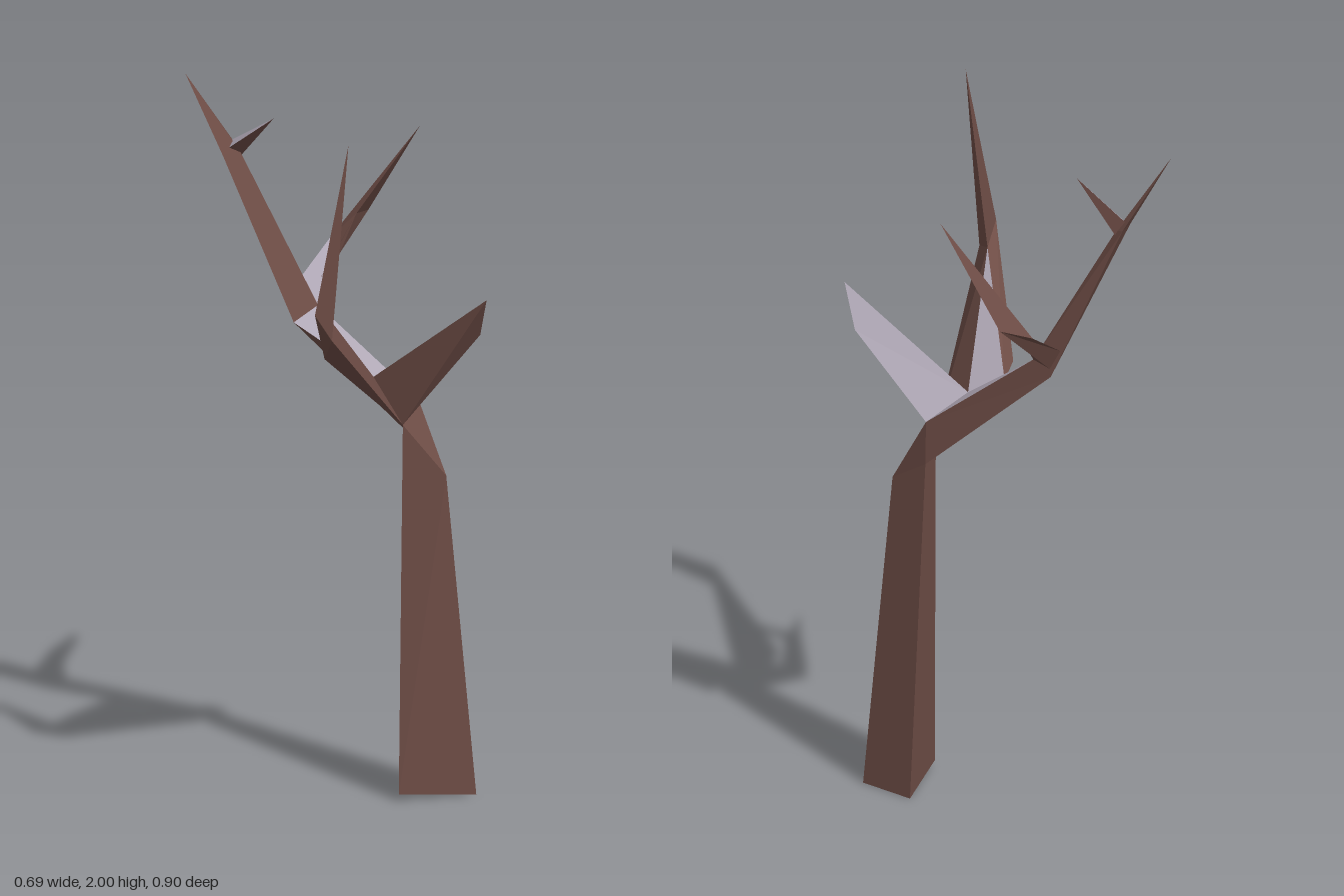
import * as THREE from 'three';

const material = (name, color, extra) =>
  Object.assign(new THREE.MeshStandardMaterial({ color, flatShading: true }), { name });
const bark = material('bark', 0x6d4c45);
const paleBark = material('paleBark', 0xb0a8b6);

const v = (x, y, z) => new THREE.Vector3(x, y, z);

// Skins a run of cross-sections; a single point is a pointed tip.
// pale lists the "segment:side" strips that take the pale colour.
function limb(name, sections, pale = []) {
  const n = sections[0].length;
  const rings = sections.map((s) => (Array.isArray(s) ? s : Array(n).fill(s)));
  const faces = { bark: [], pale: [] };
  const add = (list, a, b, c) => {
    const area = b.clone().sub(a).cross(c.clone().sub(a)).length();
    if (area > 1e-7) list.push([a, b, c]);
  };
  for (let i = 1; i < n - 1; i++) add(faces.bark, rings[0][0], rings[0][i + 1], rings[0][i]);
  for (let s = 0; s < rings.length - 1; s++) {
    for (let i = 0; i < n; i++) {
      const j = (i + 1) % n;
      const list = pale.includes(`${s}:${i}`) ? faces.pale : faces.bark;
      add(list, rings[s][i], rings[s][j], rings[s + 1][j]);
      add(list, rings[s][i], rings[s + 1][j], rings[s + 1][i]);
    }
  }
  // Turn the skin outward using its signed volume
  const all = [...faces.bark, ...faces.pale];
  const origin = rings[0][0];
  const volume = all.reduce((sum, [a, b, c]) => sum + a.clone().sub(origin)
    .dot(b.clone().sub(origin).cross(c.clone().sub(origin))), 0);
  if (volume < 0) all.forEach((f) => f.reverse());

  const geometry = new THREE.BufferGeometry().setFromPoints(all.flat());
  geometry.addGroup(0, faces.bark.length * 3, 0);
  if (faces.pale.length) geometry.addGroup(faces.bark.length * 3, faces.pale.length * 3, 1);
  geometry.computeVertexNormals();
  const mesh = new THREE.Mesh(geometry, [bark, paleBark]);
  mesh.name = name;
  return mesh;
}

export function createModel() {
  const tree = new THREE.Group();
  tree.name = 'bareTree';

  // Shared fork points
  const kneeFront = v(0.185, 0.93, 0.28);
  const kneeBack = v(0.18, 1.0, 0.165);
  const crotch = v(0.098, 1.075, 0.195);
  const forkLeft = v(0.18, 1.13, 0.163);
  const forkRight = v(0.068, 1.2, 0.103);
  const bendLeft = v(0.054, 1.36, -0.122);
  const bendRight = v(-0.042, 1.33, -0.113);
  const bendBack = v(0.03, 1.31, -0.165);

  // Trunk leaning back into the tall main limb
  tree.add(limb('trunk', [
    [v(0.25, 0, 0.333), v(0.25, 0, 0.163), v(0.04, 0.02, 0.247)],
    [kneeFront, kneeBack, crotch],
    [forkLeft, kneeBack, forkRight],
    [bendLeft, bendBack, bendRight],
    [v(-0.052, 1.78, -0.335), v(-0.04, 1.79, -0.367), v(-0.115, 1.78, -0.335)],
    v(-0.155, 2, -0.45),
  ], ['2:2']));

  // Short branch pointing forward
  const stubEnd = v(0.217, 1.36, 0.39);
  tree.add(limb('frontBranch', [
    [forkRight, forkLeft, crotch],
    [v(0.19, 1.48, 0.45), stubEnd, stubEnd],
  ], ['0:0']));

  // Long branch with an upright end
  const elbow = v(-0.255, 1.475, 0.3);
  tree.add(limb('rightBranch', [
    [forkRight, v(0.02, 1.245, 0.01), v(-0.066, 1.265, 0.05), crotch],
    [elbow, elbow, v(-0.347, 1.515, 0.345), v(-0.31, 1.44, 0.375)],
    v(-0.25, 2, 0.375),
  ], ['0:0']));

  // Bent branch growing from the main limb
  const shoulder = v(0.193, 1.505, -0.235);
  tree.add(limb('leftBranch', [
    [bendLeft, bendLeft, v(0.03, 1.4, -0.2), v(0.04, 1.34, -0.17)],
    [v(0.238, 1.58, -0.175), shoulder, shoulder, v(0.317, 1.565, -0.218)],
    v(0.345, 1.85, -0.026),
  ], ['0:1']));

  // Small twig near the top
  tree.add(limb('twig', [
    [v(-0.087, 1.79, -0.35), v(-0.06, 1.81, -0.36), v(-0.045, 1.76, -0.345)],
    v(-0.042, 1.905, -0.2),
  ], ['0:0']));

  return tree;
}
